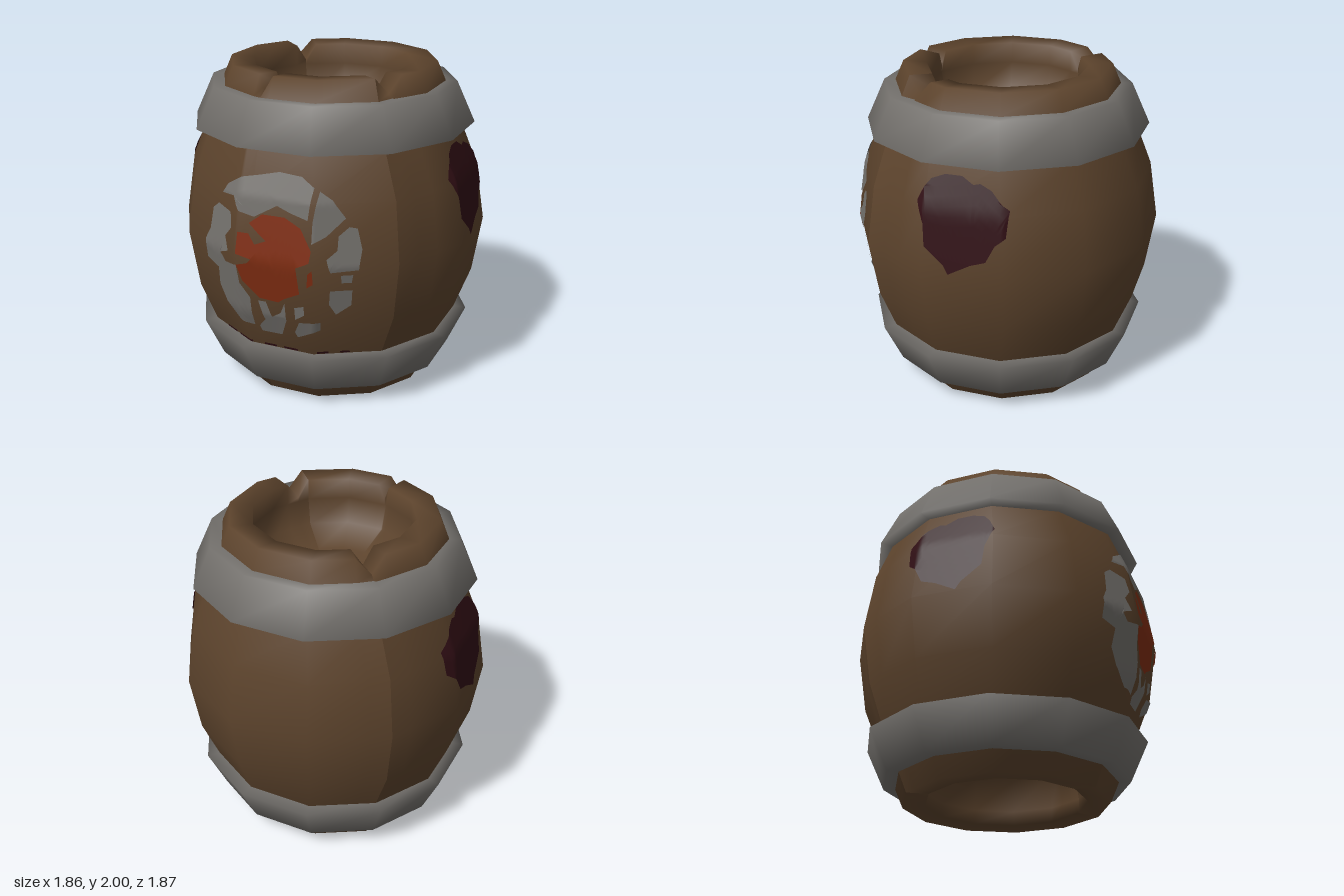
import * as THREE from 'three';
import { mergeVertices } from 'three/addons/utils/BufferGeometryUtils.js';

const mat = (name, color, side = THREE.FrontSide) => {
  const m = new THREE.MeshStandardMaterial({ color, side });
  m.name = name;
  return m;
};
const RAD = Math.PI / 180, STEP = 30, APOTHEM = Math.cos(15 * RAD);

// Outer wall as [corner radius, height]
const WALL = [[0.635, 0], [0.797, 0.38], [0.9, 0.64], [0.957, 1], [0.9, 1.36], [0.797, 1.62], [0.637, 2]];
// Chips in the upper rim as [angle, half width, depth]
const CHIPS = [[54, 9, 0.1], [-14, 4.5, 0.09], [-135, 8, 0.1]];
// The belly is turned slightly against the rims
const twist = (y) => 1.5 * THREE.MathUtils.clamp(Math.min(y - 0.38, 1.62 - y) / 0.26, 0, 1);

function chipDepth(a) {
  let d = 0;
  for (const [c, w, depth] of CHIPS) {
    const da = Math.abs(((a - c + 540) % 360) - 180);
    d = Math.max(d, depth * (1 - da / w));
  }
  return d;
}

// Sweeps a profile around twelve flat sides with smooth normals
function sweep(profile, chipped = false) {
  let angles = [];
  for (let i = 0; i < 12; i++) angles.push(15 + i * STEP);
  if (chipped) for (const [c, w] of CHIPS) angles.push(c - w, c, c + w);
  angles = angles.map((a) => (a + 360) % 360).sort((a, b) => a - b);
  const n = angles.length, pos = [], idx = [];
  profile.forEach(([r, y, chip = 0]) => {
    for (const a of angles) {
      const inSide = ((a + 15) % STEP) - 15;
      const rr = r * APOTHEM / Math.cos(inSide * RAD);
      const t = (a + twist(y)) * RAD;
      pos.push(rr * Math.sin(t), y - chip * chipDepth(a), rr * Math.cos(t));
    }
  });
  for (let i = 0; i < profile.length - 1; i++) {
    for (let j = 0; j < n; j++) {
      const k = (j + 1) % n, a = i * n + j, b = i * n + k, c = b + n, d = a + n;
      idx.push(a, b, c, a, c, d);
    }
  }
  const g = new THREE.BufferGeometry();
  g.setAttribute('position', new THREE.Float32BufferAttribute(pos, 3));
  g.setIndex(idx);
  g.computeVertexNormals();
  return g;
}

// Depth of the twelve-sided wall in front of a point (u, y)
function wallDepth(u, y) {
  let i = 0;
  while (i < WALL.length - 2 && y > WALL[i + 1][1]) i++;
  const [r0, y0] = WALL[i], [r1, y1] = WALL[i + 1];
  const ap = (r0 + (r1 - r0) * (y - y0) / (y1 - y0)) * APOTHEM + 0.007;
  let z = Infinity;
  for (let k = -2; k <= 2; k++) {
    const a = (k * STEP + twist(y)) * RAD;
    z = Math.min(z, (ap - u * Math.sin(a)) / Math.cos(a));
  }
  return z;
}

// Painted patch: a flat outline, finely divided and laid onto the wall
function paint(points) {
  const shape = new THREE.Shape(points.map(([x, y]) => new THREE.Vector2(x, y)));
  const flat = new THREE.ShapeGeometry(shape).toNonIndexed().getAttribute('position');
  let tris = [];
  for (let i = 0; i < flat.count; i += 3) {
    tris.push([0, 1, 2].map((k) => [flat.getX(i + k), flat.getY(i + k)]));
  }
  const mid = (p, q) => [(p[0] + q[0]) / 2, (p[1] + q[1]) / 2];
  for (let level = 0; level < 3; level++) {
    tris = tris.flatMap(([a, b, c]) => {
      const ab = mid(a, b), bc = mid(b, c), ca = mid(c, a);
      return [[a, ab, ca], [ab, b, bc], [ca, bc, c], [ab, bc, ca]];
    });
  }
  const pos = tris.flat().flatMap(([u, y]) => [u, y, wallDepth(u, y)]);
  let g = new THREE.BufferGeometry();
  g.setAttribute('position', new THREE.Float32BufferAttribute(pos, 3));
  g = mergeVertices(g, 1e-4);
  g.computeVertexNormals();
  return g;
}

// Broken pale ring around the front spot
const RING = [
  [[-0.34, 1.34], [-0.3, 1.4], [-0.2, 1.46], [-0.1, 1.48], [0.03, 1.51], [0.17, 1.5], [0.25, 1.45], [0.24, 1.37],
    [0.23, 1.27], [0.12, 1.3], [0.04, 1.33], [-0.1, 1.25], [-0.2, 1.27], [-0.24, 1.35]],
  [[0.28, 1.43], [0.35, 1.38], [0.42, 1.28], [0.33, 1.18], [0.26, 1.14], [0.26, 1.26]],
  [[0.39, 1.18], [0.44, 1.23], [0.48, 1.22], [0.51, 1.1], [0.5, 0.98], [0.36, 0.97], [0.34, 1.05], [0.39, 1.1]],
  [[0.41, 0.95], [0.47, 0.95], [0.46, 0.9], [0.41, 0.9]],
  [[0.35, 0.85], [0.46, 0.85], [0.45, 0.75], [0.37, 0.69], [0.34, 0.76]],
  [[-0.42, 1.23], [-0.37, 1.27], [-0.26, 1.25], [-0.25, 1.16], [-0.3, 1.1], [-0.27, 1.02], [-0.34, 0.99],
    [-0.3, 0.94], [-0.21, 0.95], [-0.2, 0.83], [-0.14, 0.74], [-0.14, 0.54], [-0.24, 0.55], [-0.34, 0.65],
    [-0.39, 0.75], [-0.38, 0.87], [-0.48, 0.9], [-0.48, 1.03], [-0.44, 1.1]],
  [[-0.09, 0.73], [-0.04, 0.73], [-0.01, 0.63], [0.05, 0.67], [0.08, 0.74], [0.08, 0.62], [0.03, 0.5],
    [-0.1, 0.5], [-0.11, 0.54], [-0.06, 0.6]],
  [[0.12, 0.54], [0.16, 0.62], [0.29, 0.64], [0.28, 0.58], [0.13, 0.5]],
  [[0.14, 0.72], [0.2, 0.74], [0.2, 0.68], [0.14, 0.64]],
];
const SPOT = [
  [[-0.13, 1.21], [-0.05, 1.27], [0.09, 1.27], [0.19, 1.22], [0.26, 1.1], [0.25, 1.03], [0.17, 0.99], [0.18, 0.82],
    [0.08, 0.77], [0.04, 0.74], [-0.08, 0.75], [-0.18, 0.85], [-0.21, 0.95], [-0.14, 0.97], [-0.11, 1],
    [-0.21, 1.02], [-0.2, 1.15], [-0.13, 1.15], [-0.09, 1.09], [-0.02, 1.12], [-0.06, 1.15]],
  [[0.24, 0.96], [0.27, 0.99], [0.27, 0.9], [0.23, 0.87]],
];
const STAIN = [[-0.26, 1.4], [-0.22, 1.48], [-0.18, 1.53], [-0.1, 1.56], [0, 1.56], [0.07, 1.52], [0.11, 1.53],
  [0.18, 1.5], [0.25, 1.43], [0.29, 1.4], [0.28, 1.25], [0.22, 1.2], [0.17, 1.1], [0.08, 1.07], [-0.05, 1],
  [-0.08, 1.05], [-0.14, 1.1], [-0.2, 1.15], [-0.21, 1.28]];

export function createModel() {
  const model = new THREE.Group();
  const wood = mat('brown wood', 0x5c432c);
  const iron = mat('grey band', 0x73706c);
  const pale = mat('grey paint', 0x73706c, THREE.DoubleSide);
  const orange = mat('orange paint', 0x7f2d12, THREE.DoubleSide);
  const stain = mat('dark red stain', 0x300e14, THREE.DoubleSide);

  const add = (name, geometry, material, turn = 0) => {
    const mesh = new THREE.Mesh(geometry, material);
    mesh.name = name;
    mesh.rotation.y = turn;
    model.add(mesh);
  };

  // Body: lower hollow, outer wall, chipped rim, upper hollow
  add('barrelBody', sweep([
    [0, 0.42], [0.3, 0.4], [0.47, 0.3], [0.5, 0.1], [0.495, 0.01], ...WALL.slice(0, -1),
    [0.69, 1.88, 0.1], [0.637, 2, 1], [0.495, 1.99, 1], [0.5, 1.86], [0.47, 1.7], [0.3, 1.6], [0, 1.58],
  ], true), wood);

  // Flared bands, mirrored top to bottom
  const band = [[0.66, 0.12], [0.76, 0.12], [0.875, 0.37], [0.77, 0.38]];
  add('lowerBand', sweep(band), iron);
  add('upperBand', sweep(band.map(([r, y]) => [r, 2 - y]).reverse()), iron);

  // Painted front mark
  RING.forEach((p) => add('frontRingPaint', paint(p), pale));
  SPOT.forEach((p) => add('frontSpotPaint', paint(p), orange));

  // Stains on both sides
  add('leftStain', paint(STAIN), stain, Math.PI / 2);
  add('rightStain', paint(STAIN.map(([u, y]) => [-u, y])), stain, -Math.PI / 2);

  // Thin stain marks along the lower band
  for (const [a, b] of [[-0.43, -0.34], [-0.31, -0.19], [-0.11, -0.03], [0.02, 0.11], [0.23, 0.29], [0.35, 0.4]]) {
    add('bandStain', paint([[a, 0.385], [b, 0.385], [b, 0.4], [a, 0.4]]), stain);
  }
  return model;
}
